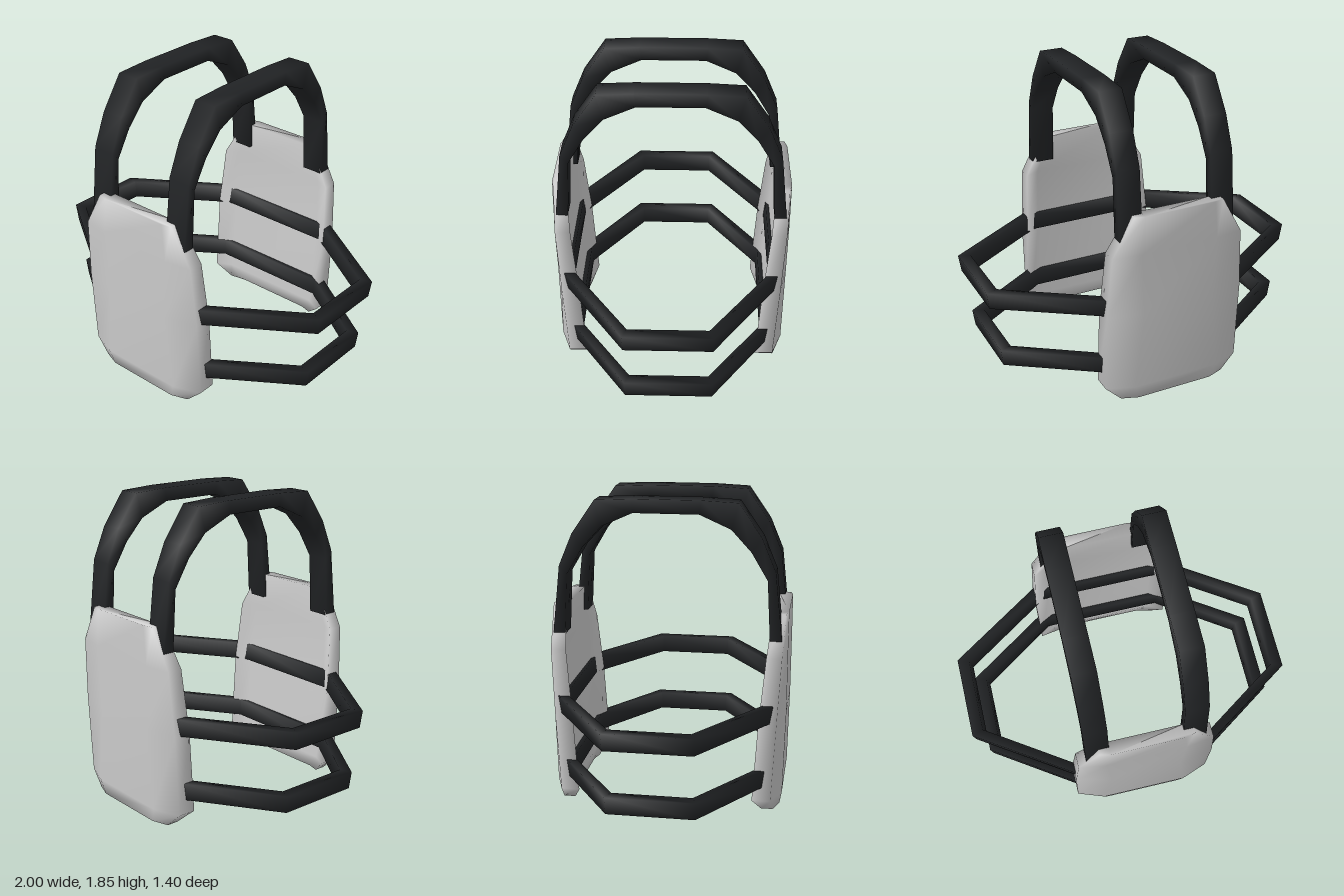
import * as THREE from 'three';

const grey = new THREE.MeshStandardMaterial({ color: 0xcccccc });
const black = new THREE.MeshStandardMaterial({ color: 0x222426 });

// Skins a row of equal-sized rings; loops back to the start or caps both ends
function loft(name, rings, material, closed = false) {
  const n = rings[0].length, count = rings.length, index = [];
  for (let j = 0; j < (closed ? count : count - 1); j++) {
    const a = j * n, b = ((j + 1) % count) * n;
    for (let i = 0; i < n; i++) {
      const k = (i + 1) % n;
      index.push(a + i, a + k, b + k, a + i, b + k, b + i);
    }
  }
  if (!closed) {
    const e = (count - 1) * n;
    for (let i = 1; i < n - 1; i++) index.push(0, i + 1, i, e, e + i, e + i + 1);
  }
  const geometry = new THREE.BufferGeometry();
  geometry.setAttribute('position', new THREE.Float32BufferAttribute(rings.flat(2), 3));
  geometry.setIndex(index);
  geometry.computeVertexNormals();
  const mesh = new THREE.Mesh(geometry, material);
  mesh.name = name;
  return mesh;
}

// Armour panel: wraps slightly inwards at its side edges
function panel(name) {
  // y, half width, half width of outer flat, outer z, edge outer z, edge inner z, centre inner z
  const levels = [
    [0, 0.34, 0.24, 0.675, 0.64, 0.57, 0.59],
    [0.09, 0.435, 0.27, 0.69, 0.63, 0.52, 0.57],
    [0.58, 0.435, 0.22, 0.7, 0.655, 0.55, 0.61],
    [0.96, 0.41, 0.24, 0.7, 0.675, 0.585, 0.63],
    [1.19, 0.28, 0.22, 0.7, 0.685, 0.61, 0.62],
  ];
  const rings = levels.map(([y, w, flat, outer, edgeOut, edgeIn, centre]) => {
    const inner = w * 0.78;
    return [
      [-flat, y, outer], [flat, y, outer], [w, y, edgeOut], [w, y, edgeIn],
      [inner, y, centre], [-inner, y, centre], [-w, y, edgeIn], [-w, y, edgeOut],
    ];
  });
  return loft(name, rings, grey);
}

// Eight-cornered belt running around the body, a little narrower at the bottom
function belt(name, y0, y1, sideX, frontZ) {
  const corners = (x, z, cx, cz) => [
    [-cx, z], [cx, z], [x, cz], [x, -cz], [cx, -z], [-cx, -z], [-x, -cz], [-x, cz],
  ];
  const outer = corners(sideX, frontZ, 0.41, 0.255);
  const inner = corners(sideX - 0.07, frontZ - 0.05, 0.385, 0.23);
  const low = (p) => [p[0] * 0.985, y0, p[1] * 0.985];
  const high = (p) => [p[0], y1, p[1]];
  const rings = outer.map((o, i) => [low(inner[i]), high(inner[i]), high(o), low(o)]);
  return loft(name, rings, black, true);
}

// Shoulder strap arching from the front panel to the back panel
function strap(name, x) {
  // outer z, outer y, inner z, inner y for the front half
  const half = [
    [0.67, 1.04, 0.6, 1.04],
    [0.625, 1.45, 0.58, 1.4],
    [0.545, 1.64, 0.485, 1.56],
    [0.41, 1.835, 0.37, 1.685],
    [0.2, 1.845, 0.19, 1.765],
  ];
  const back = half.map(([oz, oy, iz, iy]) => [-oz, oy, -iz, iy]).reverse();
  const a = x - 0.07, b = x + 0.07;
  const rings = [...half, ...back].map(([oz, oy, iz, iy]) => [
    [a, oy, oz], [b, oy, oz], [b, iy, iz], [a, iy, iz],
  ]);
  return loft(name, rings, black);
}

export function createModel() {
  const vest = new THREE.Group();
  vest.name = 'plateVest';

  // Front and back panels
  const backPanel = panel('backPanel');
  backPanel.rotation.y = Math.PI;
  vest.add(panel('frontPanel'), backPanel);

  // Side belts
  vest.add(belt('upperBelt', 0.575, 0.68, 1, 0.645));
  vest.add(belt('lowerBelt', 0.175, 0.28, 0.935, 0.608));

  // Shoulder straps
  vest.add(strap('leftShoulderStrap', 0.29), strap('rightShoulderStrap', -0.29));
  return vest;
}
